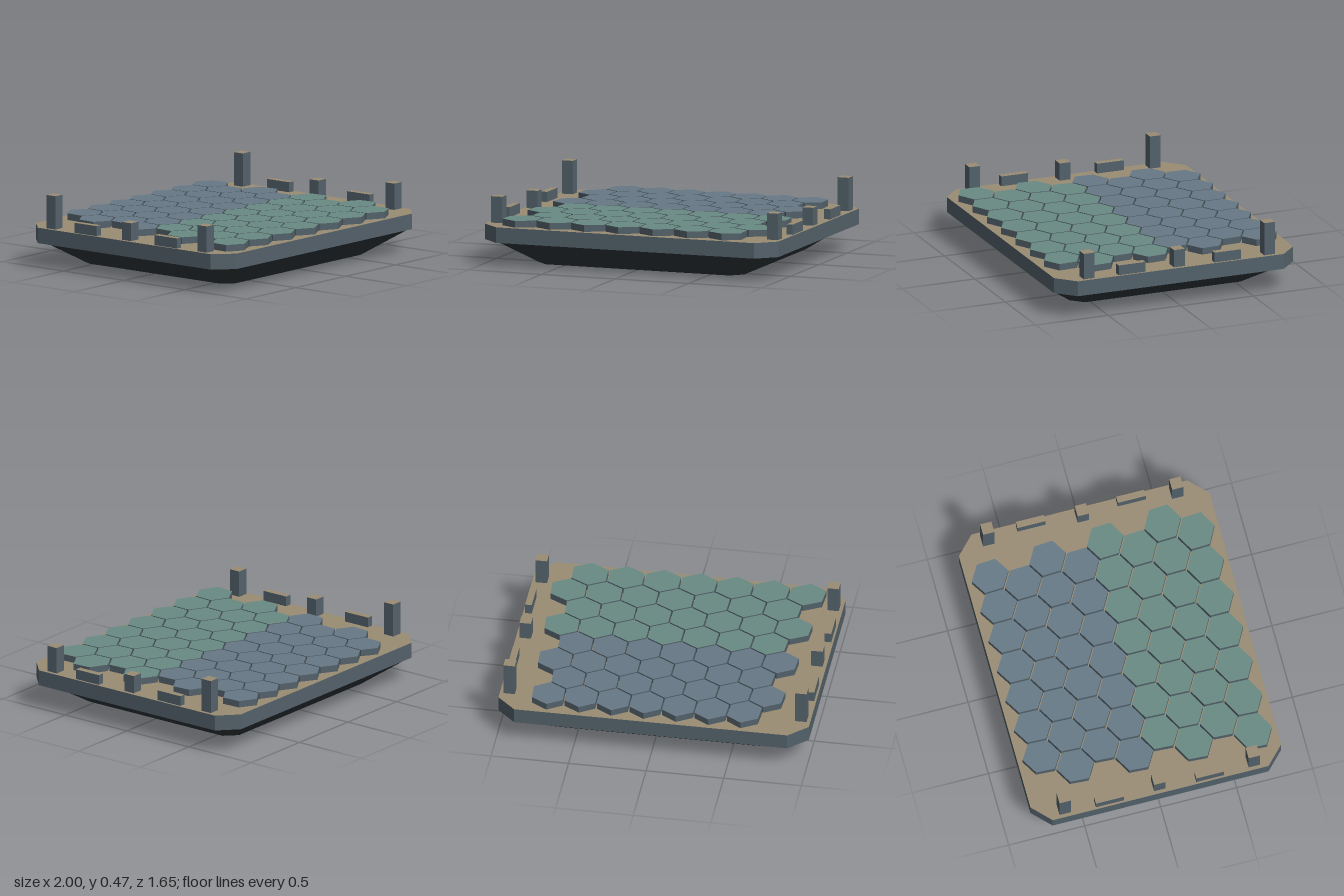
import * as THREE from 'three';

const paint = (color) => new THREE.MeshStandardMaterial({ color, flatShading: true });

// Octagonal slab: a rectangle with cut corners, standing on y = y0
function chamferedSlab(hx, hz, cx, cz, y0, y1) {
  const outline = [
    [hx, -hz + cz], [hx, hz - cz], [hx - cx, hz], [-hx + cx, hz],
    [-hx, hz - cz], [-hx, -hz + cz], [-hx + cx, -hz], [hx - cx, -hz],
  ].map(([x, z]) => new THREE.Vector2(x, z));
  const geo = new THREE.ExtrudeGeometry(new THREE.Shape(outline), { depth: y1 - y0, bevelEnabled: false });
  return geo.rotateX(-Math.PI / 2).translate(0, y0, 0);
}

export function createModel() {
  const group = new THREE.Group();
  const tan = paint(0x9a8c74);
  const slate = paint(0x53616a);
  const dark = paint(0x2f3639);
  const blue = paint(0x667986);
  const green = paint(0x698a83);

  const add = (name, geo, material) => {
    const mesh = new THREE.Mesh(geo, material);
    mesh.name = name;
    group.add(mesh);
    return mesh;
  };

  const deckTop = 0.255;
  const deckBase = 0.155;

  // Deck: tan top, slate rim
  add('deck', chamferedSlab(1, 0.825, 0.12, 0.115, deckBase, deckTop), [tan, slate]);

  // Hull: slab narrowed towards its flat bottom
  const hullGeo = chamferedSlab(0.935, 0.82, 0.1, 0.1, 0, deckBase);
  const p = hullGeo.attributes.position;
  for (let i = 0; i < p.count; i++) {
    if (p.getY(i) < 0.01) p.setXYZ(i, p.getX(i) * 0.749, 0, p.getZ(i) * 0.744);
  }
  hullGeo.computeVertexNormals();
  add('hull', hullGeo, dark);

  // Hexagonal tiles: staggered rows that widen towards the front
  const rows = 8;
  const columns = 7;
  const rowStep = 0.192;
  const pitch = (rowStep / 1.5) * Math.sqrt(3);
  const tileHeight = 0.043;
  for (let r = 0; r < rows; r++) {
    const z = (r - (rows - 1) / 2) * rowStep;
    const shift = (r % 2 ? -1 : 1) * pitch / 4;
    for (let c = 0; c < columns; c++) {
      const x = (c - (columns - 1) / 2) * pitch + shift;
      const geo = new THREE.CylinderGeometry(0.122, 0.122, tileHeight, 6);
      geo.translate(x, deckTop + tileHeight / 2, z);
      const v = geo.attributes.position;
      for (let i = 0; i < v.count; i++) v.setX(i, v.getX(i) * (1 + 0.076 * v.getZ(i)));
      const cap = r < rows / 2 ? blue : green;
      add(r < rows / 2 ? 'backTile' : 'frontTile', geo, [slate, cap, slate]);
    }
  }

  // Posts and low rails along both sides, with tan tops
  const boxMaterials = [slate, slate, tan, slate, slate, slate];
  const block = (name, w, d, top, x, z) => {
    const h = top - deckTop;
    add(name, new THREE.BoxGeometry(w, h, d), boxMaterials).position.set(x, deckTop + h / 2, z);
  };
  for (const side of [-1, 1]) {
    block('backPost', 0.074, 0.074, 0.47, side * 0.94, -0.622);
    block('middlePost', 0.074, 0.074, 0.37, side * 0.94, 0);
    block('frontPost', 0.074, 0.074, 0.425, side * 0.94, 0.622);
    for (const end of [-1, 1]) block('rail', 0.043, 0.184, 0.32, side * 0.965, end * 0.33);
  }

  return group;
}
